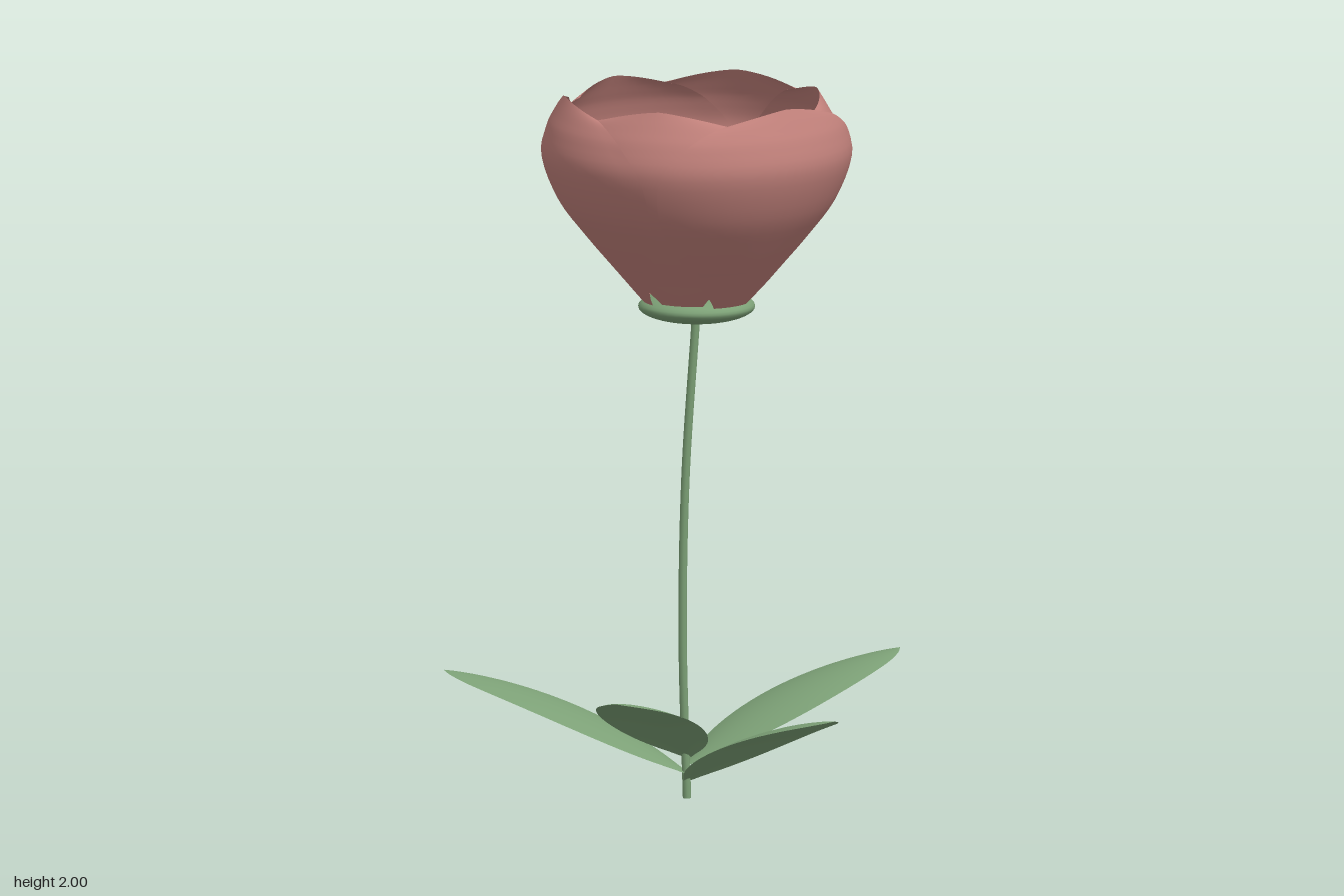
import * as THREE from 'three';

const petalPink = new THREE.MeshStandardMaterial({ color: 0xc0807a, side: THREE.DoubleSide });
petalPink.name = 'petalPink';
const leafGreen = new THREE.MeshStandardMaterial({ color: 0x7ca076, side: THREE.DoubleSide });
leafGreen.name = 'leafGreen';

// Smooth sheet from a rule: u runs -1..1 across, t runs 0..1 along
function sheet(rule, across, along) {
  const geo = new THREE.PlaneGeometry(2, 1, across, along);
  const pos = geo.attributes.position;
  for (let i = 0; i < pos.count; i++) {
    const p = rule(pos.getX(i), pos.getY(i) + 0.5);
    pos.setXYZ(i, p[0], p[1], p[2]);
  }
  geo.computeVertexNormals();
  return geo;
}

function part(name, geo, mat) {
  const mesh = new THREE.Mesh(geo, mat);
  mesh.name = name;
  return mesh;
}

// Petal rows: height above the cup base, radius, half angle in radians
const petalRows = new THREE.CatmullRomCurve3([
  [0, 0.148, 0.4], [0.09, 0.225, 0.74], [0.19, 0.31, 0.95], [0.29, 0.385, 1.01],
  [0.41, 0.432, 0.98], [0.49, 0.42, 0.84], [0.54, 0.398, 0.7], [0.59, 0.372, 0.52],
].map((p) => new THREE.Vector3(...p)), false, 'catmullrom');

// The petal faces +x and wraps around the flower axis
function petalGeometry(inset) {
  return sheet((u, t) => {
    const p = petalRows.getPoint(t);
    const r = p.y - inset * (0.4 + 0.6 * t);
    const a = u * p.z;
    return [r * Math.cos(a), p.x - 0.035 * Math.abs(u) ** 1.4 * t ** 8, r * Math.sin(a)];
  }, 16, 28);
}

// Three outer petals with three inner petals in the gaps
function makeCup(name) {
  const cup = new THREE.Group();
  cup.name = name;
  const outer = petalGeometry(0);
  const inner = petalGeometry(0.03);
  for (let i = 0; i < 6; i++) {
    const petal = part(i % 2 ? 'innerPetal' : 'outerPetal', i % 2 ? inner : outer, petalPink);
    petal.rotation.y = i * Math.PI / 3;
    cup.add(petal);
  }
  return cup;
}

// Leaf half widths along its length
const leafWidth = new THREE.CatmullRomCurve3([
  [0, 0.012], [0.14, 0.08], [0.28, 0.12], [0.44, 0.137], [0.6, 0.131],
  [0.75, 0.108], [0.88, 0.072], [0.96, 0.034], [1, 0.002],
].map(([t, w]) => new THREE.Vector3(t, w, 0)), false, 'catmullrom');

// The leaf points along +x, arches upward and droops at its edges
function leafGeometry() {
  return sheet((u, t) => {
    const p = leafWidth.getPoint(t);
    const w = p.y;
    const y = 0.265 * (1.65 * p.x - 0.65 * p.x * p.x) - 0.022 * u * u * (w / 0.137);
    return [0.69 * p.x, y, u * w];
  }, 10, 28);
}

export function createModel() {
  const model = new THREE.Group();
  model.name = 'flower';

  // Gently bent stem
  const stemPath = new THREE.CatmullRomCurve3([
    new THREE.Vector3(-0.067, 0, 0.04),
    new THREE.Vector3(-0.066, 0.45, 0.057),
    new THREE.Vector3(-0.054, 0.9, 0.058),
    new THREE.Vector3(-0.026, 1.38, 0.042),
  ]);
  model.add(part('stem', new THREE.TubeGeometry(stemPath, 32, 0.012, 10), leafGreen));
  const foot = part('stemFoot', new THREE.CircleGeometry(0.012, 10), leafGreen);
  foot.rotation.x = Math.PI / 2;
  foot.position.set(-0.067, 0.001, 0.04);
  model.add(foot);

  // Flattened base below the petals
  const base = part('flowerBase', new THREE.SphereGeometry(0.163, 40, 20), leafGreen);
  base.scale.y = 0.27;
  base.position.set(-0.027, 1.396, 0.04);
  model.add(base);

  // Petal cup, and a tiny bud at its centre
  const cup = makeCup('petalCup');
  cup.position.set(-0.027, 1.41, 0.04);
  const bud = makeCup('centreBud');
  bud.scale.setScalar(0.095);
  bud.position.set(-0.027, 1.435, 0.04);
  model.add(cup, bud);

  // Leaves, each set a little higher than the last: tip x, tip z, base height
  const leafShape = leafGeometry();
  for (const [x, z, y] of [[0.62, 0.11, 0.05], [-0.625, 0.45, 0.072], [0.07, -0.64, 0.097], [0.29, 0.635, 0.118]]) {
    const leaf = part('leaf', leafShape, leafGreen);
    leaf.position.set(-0.066, y, 0.041);
    leaf.rotation.y = -Math.atan2(z - 0.041, x + 0.066);
    model.add(leaf);
  }
  return model;
}
